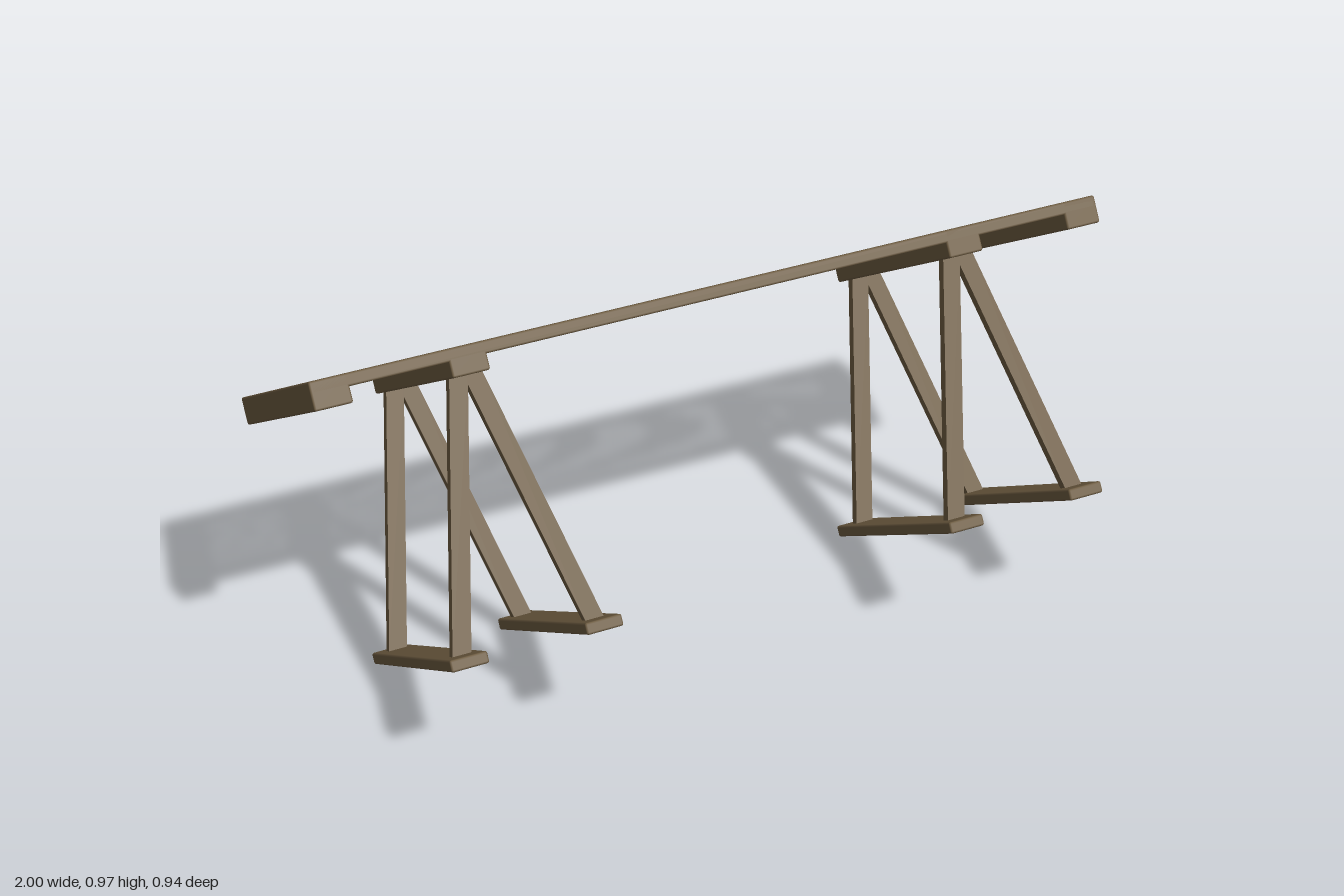
import * as THREE from 'three';
import { RoundedBoxGeometry } from 'three/addons/geometries/RoundedBoxGeometry.js';

const wood = new THREE.MeshStandardMaterial({ color: 0x6e5c41 });
wood.name = 'brown wood';

const TOP = 0.768;     // upper face of the table
const MID = 0.2425;    // middle of the table top, front to back
const WIDTH = 0.666;   // front to back
const FOOT_TOP = 0.097;

export function createModel() {
  const model = new THREE.Group();
  model.name = 'slattedTable';

  // Whole table lies tipped back with a slight sideways lean and turn
  const table = new THREE.Group();
  table.name = 'tippedTable';
  table.rotation.set(THREE.MathUtils.degToRad(-30.3), -0.004, 0.022);
  table.position.x = 0.0155;
  model.add(table);

  const add = (name, geometry, x, y, z) => {
    const mesh = new THREE.Mesh(geometry, wood);
    mesh.name = name;
    mesh.position.set(x, y, z);
    table.add(mesh);
    return mesh;
  };
  const board = (w, h, d) => new RoundedBoxGeometry(w, h, d, 1, 0.005);

  // Long rails at front and back
  const railT = 0.03, railW = 0.038;
  for (const s of [-1, 1]) {
    add(s > 0 ? 'frontRail' : 'backRail', board(1.99, railT, railW),
      0, TOP - railT / 2, MID + s * (WIDTH - railW) / 2);
  }

  // Thick boards across both ends and above each trestle
  const barT = 0.067, barW = 0.09;
  for (const s of [-1, 1]) {
    add('endBoard', board(barW, barT, WIDTH), s * (0.9985 - barW / 2), TOP - barT / 2, MID);
    add('crossBoard', board(barW, barT, WIDTH), s * 0.63, TOP - barT / 2, MID);
  }

  // Thin slats between the rails
  const count = 17, span = WIDTH - 2 * railW;
  const slat = new THREE.BoxGeometry(1.84, 0.007, 0.011);
  for (let i = 0; i < count; i++) {
    const z = MID - span / 2 + span * (i + 1) / (count + 1);
    add('slat', slat, 0, TOP - 0.015, z);
  }

  // Trestles: two long feet joined to the cross board by front and back V legs
  const footT = 0.028;
  const legTop = TOP - barT + 0.01, legBase = FOOT_TOP - 0.008;
  const dx = 0.148, dy = legTop - legBase;
  const legGeometry = new THREE.BoxGeometry(0.044, Math.hypot(dx, dy), 0.024);
  for (const side of [-1, 1]) {
    for (const s of [-1, 1]) {
      add('foot', board(0.09, footT, 0.666),
        side * 0.63 + s * 0.163, FOOT_TOP - footT / 2, 0.248);
      for (const f of [-1, 1]) {
        const leg = add(f > 0 ? 'frontLeg' : 'backLeg', legGeometry,
          side * 0.63 + s * 0.089, (legTop + legBase) / 2, 0.246 + f * 0.268);
        leg.rotation.z = s * Math.atan2(dx, dy);
      }
    }
  }

  return model;
}
